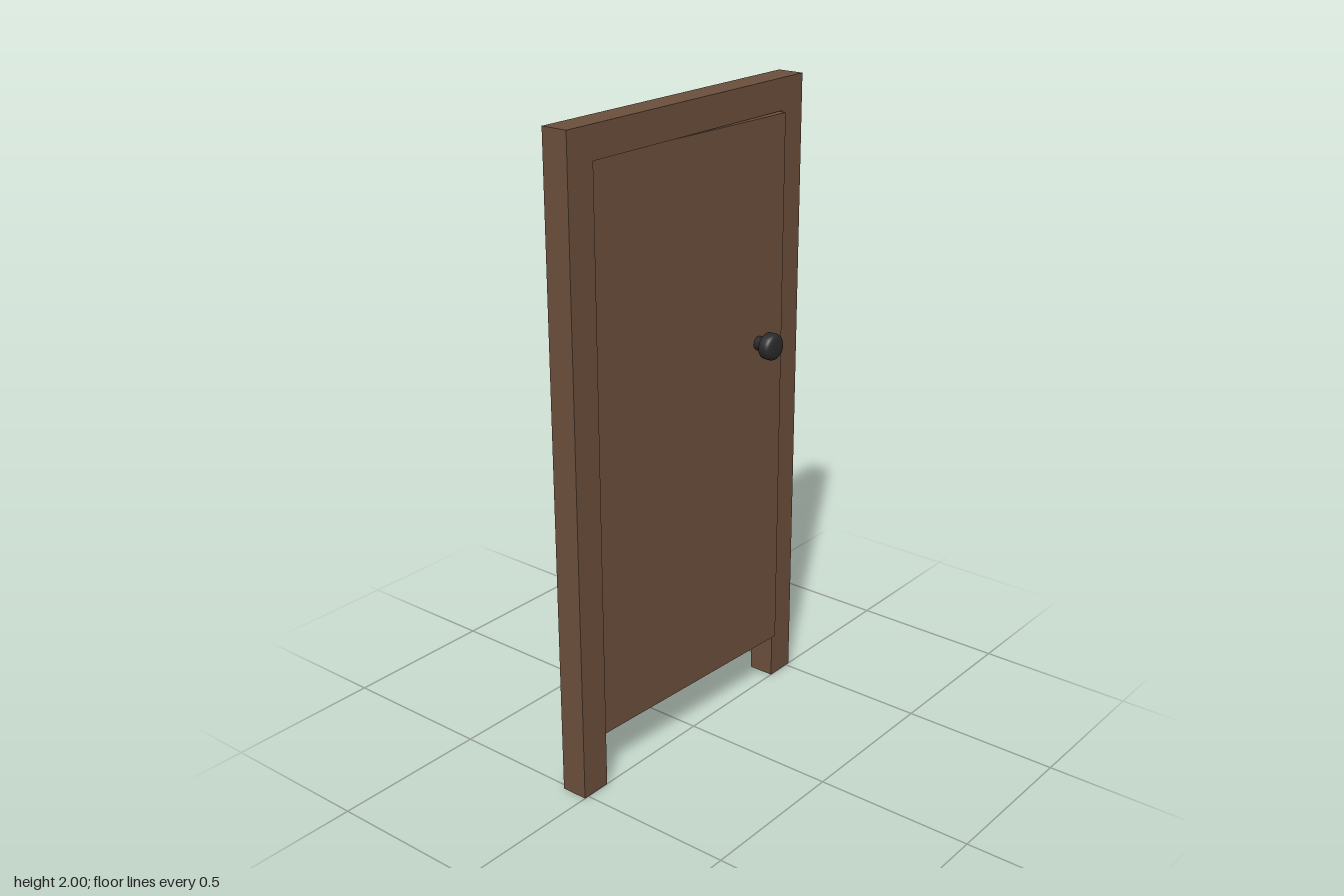
import * as THREE from 'three';

const HALF = 0.515, HEIGHT = 2, DEPTH = 0.085;      // frame outer size
const INNER = 0.416, LINTEL = 1.903;                // door opening
const DOOR_BOTTOM = 0.155, DOOR_THICK = 0.04, AJAR = 0.048;

const material = (name, color, side = THREE.FrontSide) => {
  const m = new THREE.MeshStandardMaterial({ color, side });
  m.name = name;
  return m;
};

function add(parent, name, geometry, mat, x = 0, y = 0, z = 0) {
  const mesh = new THREE.Mesh(geometry, mat);
  mesh.name = name;
  mesh.position.set(x, y, z);
  parent.add(mesh);
  return mesh;
}

export function createModel() {
  const model = new THREE.Group();
  model.name = 'door';
  const wood = material('brown wood', 0x6b4f3c, THREE.DoubleSide);
  const metal = material('black metal', 0x2a2a2a);

  // Frame: a sheet channel, open at the back and under the feet
  const frame = new THREE.Group();
  frame.name = 'frame';
  model.add(frame);
  const face = new THREE.Shape([
    [-HALF, 0], [-INNER, 0], [-INNER, LINTEL], [INNER, LINTEL],
    [INNER, 0], [HALF, 0], [HALF, HEIGHT], [-HALF, HEIGHT],
  ].map(([x, y]) => new THREE.Vector2(x, y)));
  add(frame, 'frameFace', new THREE.ShapeGeometry(face), wood);

  // Flanges run back from the outer and inner outlines of the face
  for (const [label, half, top, out] of [['outer', HALF, HEIGHT, 1], ['inner', INNER, LINTEL, -1]]) {
    for (const side of [-1, 1]) {
      const jamb = new THREE.PlaneGeometry(DEPTH, top).rotateY(side * out * Math.PI / 2);
      add(frame, label + 'Jamb', jamb, wood, side * half, top / 2, -DEPTH / 2);
    }
    const head = new THREE.PlaneGeometry(half * 2, DEPTH).rotateX(-out * Math.PI / 2);
    add(frame, label + 'Lintel', head, wood, 0, top, -DEPTH / 2);
  }

  // Door leaf, slightly ajar about its hinge side
  const leaf = new THREE.Group();
  leaf.name = 'doorLeaf';
  leaf.position.set(-0.414, 0, -0.0245);
  leaf.rotation.y = -AJAR;
  model.add(leaf);
  const leafHeight = 1.9 - DOOR_BOTTOM;
  add(leaf, 'doorPanel', new THREE.BoxGeometry(0.828, leafHeight, DOOR_THICK), wood,
    0.414, DOOR_BOTTOM + leafHeight / 2, -DOOR_THICK / 2);

  // Knob: a neck and a rounded head turned around one axis
  const profile = [
    [0.022, -0.005], [0.022, 0.031], [0.036, 0.031], [0.041, 0.034], [0.042, 0.042],
    [0.042, 0.056], [0.040, 0.064], [0.034, 0.070], [0.022, 0.073], [0, 0.074],
  ].map(([r, h]) => new THREE.Vector2(r, h));
  const knob = new THREE.LatheGeometry(profile, 24).rotateX(Math.PI / 2);
  add(leaf, 'knob', knob, metal, 0.717, 1.213, 0);

  return model;
}
